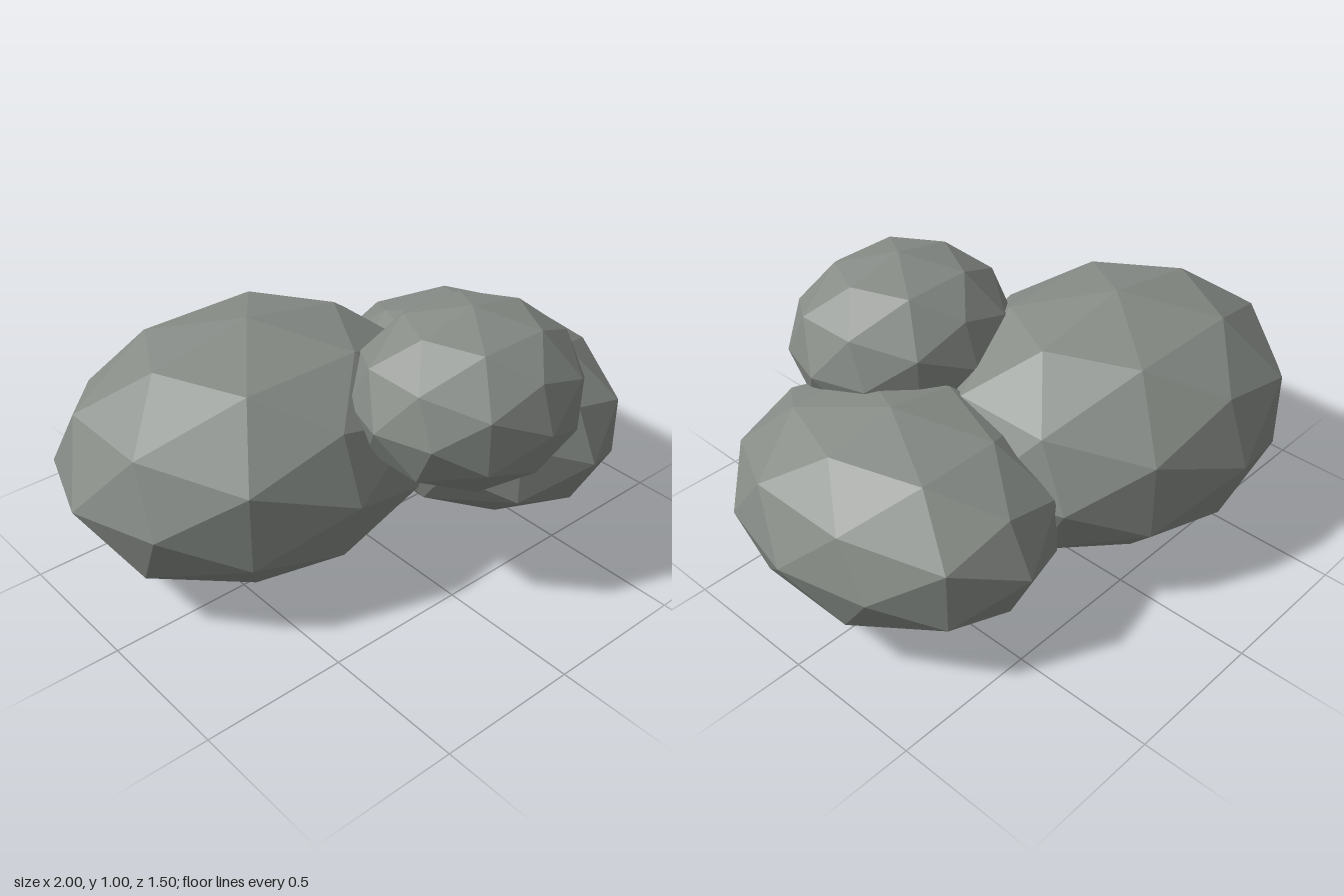
import * as THREE from 'three';

// A cluster of three faceted boulders, each a stretched low-poly sphere
export function createModel() {
  const group = new THREE.Group();
  group.name = 'rockCluster';

  const stone = new THREE.MeshStandardMaterial({ color: 0x868b86, flatShading: true });

  const addRock = (name, centre, radii) => {
    const geometry = new THREE.IcosahedronGeometry(1, 1);
    geometry.scale(...radii);
    const rock = new THREE.Mesh(geometry, stone);
    rock.name = name;
    rock.position.set(...centre);
    group.add(rock);
  };

  // Large boulder behind, long boulder at the left side, small one resting on both
  addRock('largeRock', [-0.305, 0.443, -0.182], [0.695, 0.443, 0.568]);
  addRock('sideRock', [0.51, 0.377, 0.045], [0.488, 0.35, 0.597]);
  addRock('topRock', [0.146, 0.697, 0.384], [0.404, 0.303, 0.363]);

  return group;
}
